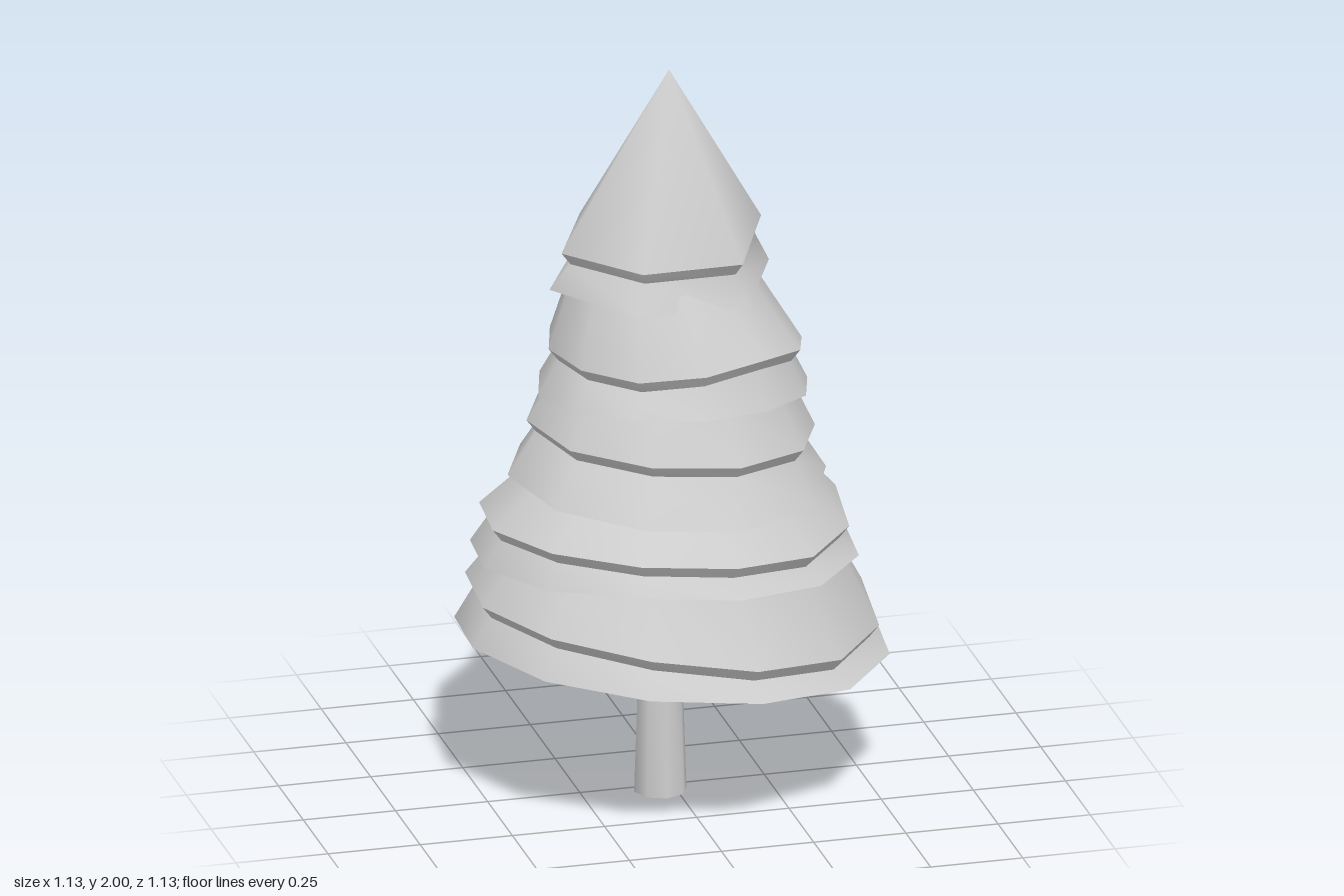
import * as THREE from 'three';
import { mergeVertices } from 'three/addons/utils/BufferGeometryUtils.js';

const material = new THREE.MeshStandardMaterial({ color: 0xcccccc, side: THREE.DoubleSide });

// Height of corner i of n, blended from a few heights spread evenly around the ring.
function blend(heights, i, n) {
  const t = (i / n) * heights.length;
  const k = Math.floor(t);
  return THREE.MathUtils.lerp(heights[k], heights[(k + 1) % heights.length], t - k);
}

// A loop of corners around at = [x, z], angles running from +x to +z.
// The form gives the corner count, first angle and depth-to-width ratio.
function ring({ n, phase, depth }, { r, at: [x, z], y }, inset = 0, drop = 0) {
  return Array.from({ length: n }, (_, i) => {
    const a = THREE.MathUtils.degToRad(phase + (360 * i) / n);
    const radius = r - inset;
    return [x + radius * Math.cos(a), blend(y, i, n) - drop, z + radius * depth * Math.sin(a)];
  });
}

// Smooth band between an upper and a lower loop; a loop of radius 0 becomes a single tip.
function band(name, upper, lower) {
  const n = upper.length;
  const index = [];
  for (let i = 0; i < n; i++) {
    const j = (i + 1) % n;
    index.push(i, j, n + i, j, n + j, n + i);
  }
  const loops = new THREE.BufferGeometry();
  loops.setAttribute('position', new THREE.Float32BufferAttribute([...upper, ...lower].flat(), 3));
  loops.setIndex(index);
  const geometry = mergeVertices(loops);
  geometry.computeVertexNormals();
  const mesh = new THREE.Mesh(geometry, material);
  mesh.name = name;
  return mesh;
}

// A tier is two drooping skirts: the upper one starts at the top ring,
// the lower one is tucked in under its edge and closed below.
function makeTier(n, phase, depth, top, upper, lower) {
  const form = { n, phase, depth };
  const upperEdge = ring(form, upper);
  const tuck = ring(form, upper, 0.025, 0.033);
  const lowerEdge = ring(form, lower);
  const mean = lower.y.reduce((a, b) => a + b) / lower.y.length;
  const tier = new THREE.Group();
  tier.name = 'foliageTier';
  tier.add(
    band('upperSkirt', ring(form, top), upperEdge),
    band('skirtLip', upperEdge, tuck),
    band('lowerSkirt', tuck, lowerEdge),
    band('underside', lowerEdge, ring(form, { r: 0, at: lower.at, y: [mean] })),
  );
  return tier;
}

export function createModel() {
  const tree = new THREE.Group();
  tree.name = 'tree';

  // Foliage from the wide bottom tier up to the pointed tip
  tree.add(
    makeTier(12, -9.5, 1, { r: 0.44, at: [-0.01, 0], y: [0.7] },
      { r: 0.545, at: [0, 0], y: [0.49, 0.455, 0.51, 0.58, 0.585, 0.57, 0.53, 0.505] },
      { r: 0.573, at: [0, 0], y: [0.4, 0.38, 0.43, 0.47, 0.475, 0.435, 0.32, 0.33] }),
    makeTier(12, -9, 0.94, { r: 0.355, at: [-0.01, -0.01], y: [0.9] },
      { r: 0.49, at: [-0.02, -0.005], y: [0.765, 0.73, 0.77, 0.8, 0.79, 0.77, 0.735, 0.735] },
      { r: 0.515, at: [-0.018, -0.01], y: [0.65, 0.665, 0.71, 0.685, 0.65, 0.62] }),
    makeTier(10, 4, 0.985, { r: 0.3, at: [0, -0.03], y: [1.16] },
      { r: 0.385, at: [0.005, -0.032], y: [0.97, 1.0, 1.03, 1.04, 1.01, 0.99] },
      { r: 0.425, at: [-0.012, -0.008], y: [0.86, 0.845, 0.88, 0.9, 0.875, 0.85] }),
    makeTier(12, 0, 0.925, { r: 0.238, at: [-0.018, -0.05], y: [1.44] },
      { r: 0.343, at: [0.017, -0.032], y: [1.21, 1.265, 1.235, 1.245, 1.24, 1.25] },
      { r: 0.365, at: [0.01, -0.03], y: [1.095, 1.13, 1.14, 1.115, 1.12, 1.11] }),
    makeTier(6, -6.5, 0.9, { r: 0, at: [0, -0.03], y: [2] },
      { r: 0.28, at: [-0.016, -0.048], y: [1.545, 1.505, 1.515, 1.515, 1.53, 1.56] },
      { r: 0.308, at: [-0.02, -0.055], y: [1.415, 1.39, 1.4, 1.415, 1.4, 1.385] }),
  );

  // Trunk, open at the foot and hidden in the foliage at the top
  const round = { n: 8, phase: 0, depth: 1 };
  tree.add(band('trunk', ring(round, { r: 0.055, at: [-0.037, 0.02], y: [0.48] }),
    ring(round, { r: 0.071, at: [-0.04, 0.03], y: [0] })));
  return tree;
}
